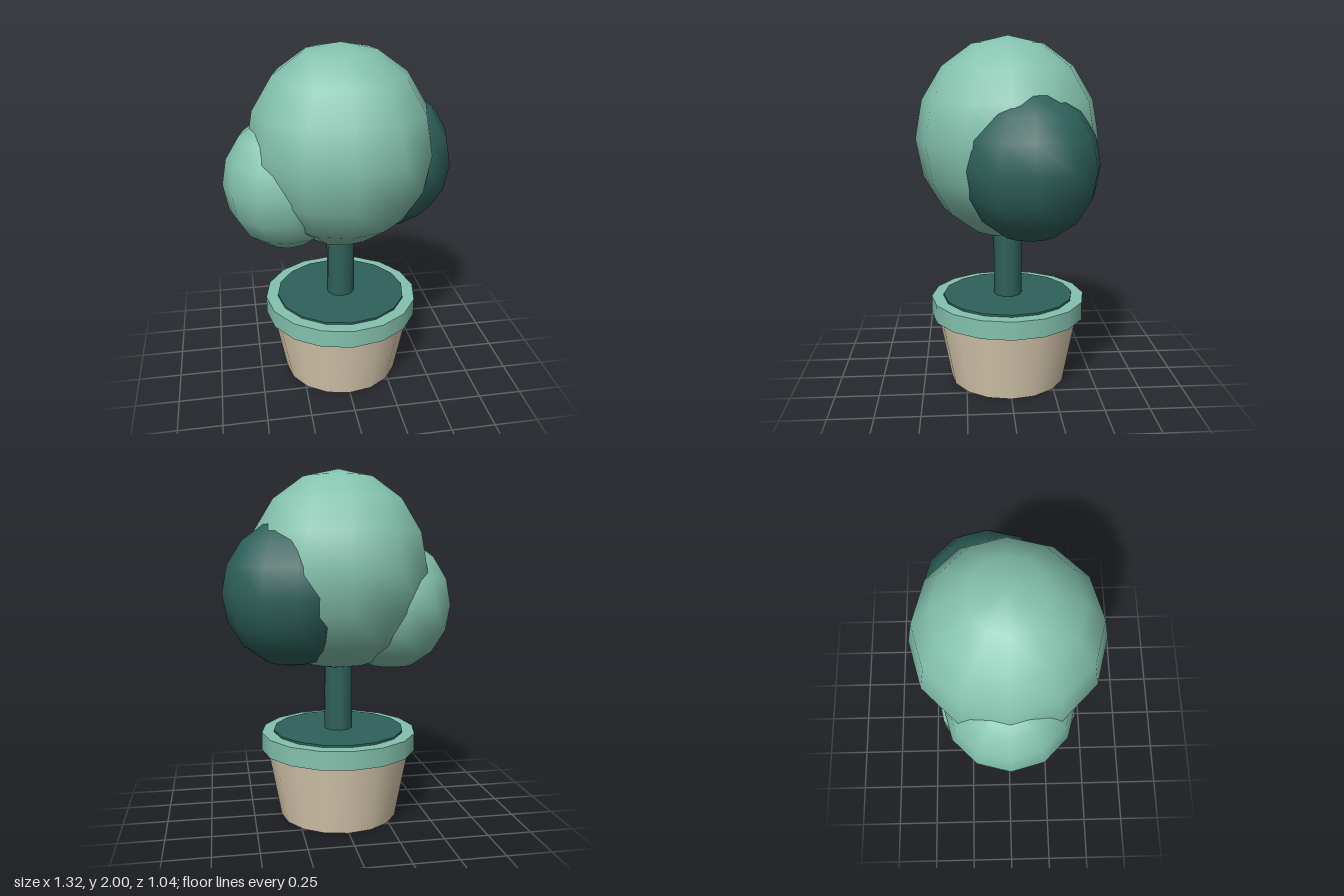
import * as THREE from 'three';

const leafGreen = new THREE.MeshStandardMaterial({ name: 'leafGreen', color: 0x84c2ae });
const darkGreen = new THREE.MeshStandardMaterial({ name: 'darkGreen', color: 0x2f615b });
const clay = new THREE.MeshStandardMaterial({ name: 'clay', color: 0xdccdb2 });

export function createModel() {
  const model = new THREE.Group();
  model.name = 'pottedTree';

  const add = (name, geometry, material, x, y, z) => {
    const mesh = new THREE.Mesh(geometry, material);
    mesh.name = name;
    mesh.position.set(x, y, z);
    model.add(mesh);
    return mesh;
  };

  // Upright cylinder or cone section between two heights
  const drum = (name, material, topRadius, bottomRadius, y0, y1, sides) =>
    add(name, new THREE.CylinderGeometry(topRadius, bottomRadius, y1 - y0, sides), material, 0, (y0 + y1) / 2, 0);

  // Slightly tall, coarse ball of leaves
  const foliage = (name, material, radius, height, x, y, z) =>
    add(name, new THREE.SphereGeometry(radius, 12, 8).scale(1, height / radius, 1), material, x, y, z);

  // Pot with rim and soil
  drum('pot', clay, 0.415, 0.34, 0, 0.4, 16);
  drum('potRim', leafGreen, 0.45, 0.45, 0.4, 0.505, 16);
  drum('soil', darkGreen, 0.38, 0.38, 0.45, 0.517, 16);

  // Trunk
  drum('trunk', darkGreen, 0.082, 0.082, 0.5, 1.1, 10);

  // Crown
  foliage('mainFoliage', leafGreen, 0.52, 0.565, 0, 1.435, 0);
  foliage('rightFoliage', leafGreen, 0.35, 0.383, -0.31, 1.243, 0);
  foliage('leftFoliage', darkGreen, 0.38, 0.408, 0.28, 1.318, -0.1);

  return model;
}
